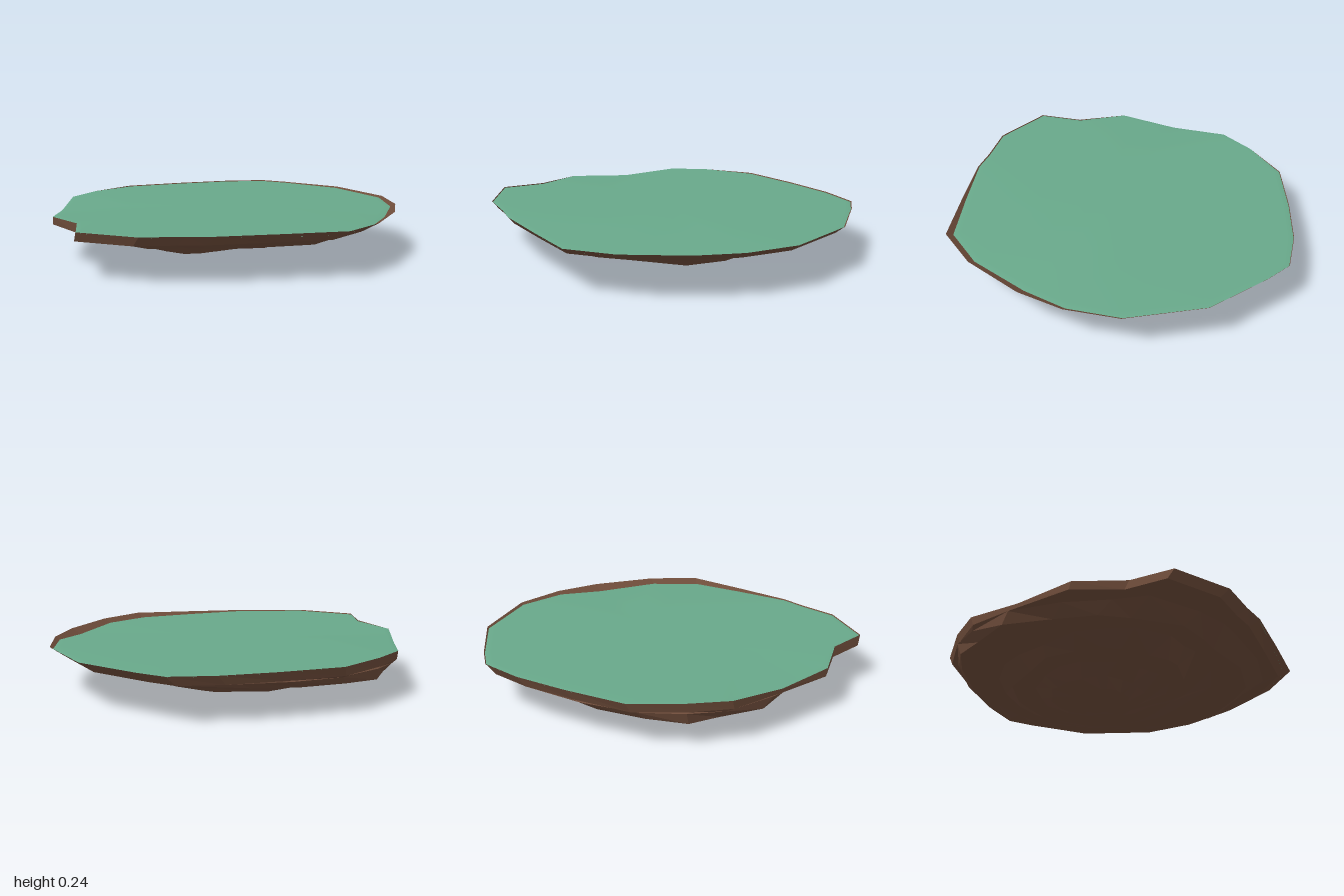
import * as THREE from 'three';

// Rim outline as [x, z], running from +x towards +z
const OUTLINE = [
  [0.92, 0.05], [0.88, 0.32], [0.64, 0.54], [0.39, 0.76], [0.27, 0.83], [0.09, 0.955], [-0.24, 1],
  [-0.38, 0.81], [-0.63, 0.69], [-0.79, 0.41], [-0.935, 0.13], [-0.935, -0.09], [-0.885, -0.37],
  [-0.68, -0.63], [-0.48, -0.85], [-0.29, -0.995], [-0.13, -1], [0.24, -0.975], [0.61, -0.77],
  [0.78, -0.54], [0.87, -0.3],
];
const N = OUTLINE.length;
const TOP = 0.24;

// Terraces of the underside: y, xMin, xMax, zMin, zMax
const TERRACES = [
  [0.19, -0.92, 0.84, -0.95, 0.98],
  [0.182, -0.91, 0.79, -0.86, 0.84],
  [0.132, -0.9, 0.69, -0.73, 0.71],
  [0.117, -0.66, 0.46, -0.63, 0.6],
  [0.07, -0.58, 0.32, -0.56, 0.46],
  [0.058, -0.47, 0.24, -0.39, 0.33],
  [0.025, -0.39, 0.12, -0.31, 0.2],
  [0, -0.27, 0.02, -0.2, 0.12],
];

// Small seeded random, -1 to 1
function seeded(seed) {
  return () => {
    seed = (seed * 16807) % 2147483647;
    return (seed / 2147483647) * 2 - 1;
  };
}

// Skin between closed rings, ending in a fan round the last ring's middle
function loft(rings, end, facesUp) {
  const positions = rings.flat().flatMap((p) => p.toArray());
  positions.push(...end.toArray());
  const index = [];
  const tri = (a, b, c) => (facesUp ? index.push(a, c, b) : index.push(a, b, c));
  rings.forEach((ring, r) => {
    for (let j = 0; j < N; j++) {
      const a = r * N + j;
      const b = r * N + ((j + 1) % N);
      if (r === rings.length - 1) tri(a, b, rings.length * N);
      else {
        tri(a, b, a + N);
        tri(b, b + N, a + N);
      }
    }
  });
  const geometry = new THREE.BufferGeometry();
  geometry.setAttribute('position', new THREE.Float32BufferAttribute(positions, 3));
  geometry.setIndex(index);
  geometry.computeVertexNormals();
  return geometry;
}

export function createModel() {
  const group = new THREE.Group();
  const random = seeded(4217);

  // Rim, dipping a little at the front left
  const lowRim = { 8: 0.232, 9: 0.212, 10: 0.236 };
  const rim = OUTLINE.map(([x, z], j) => new THREE.Vector3(x, lowRim[j] ?? TOP, z));

  // Rock terraces, rounder and rougher towards the bottom
  const terraces = TERRACES.map(([y, x0, x1, z0, z1], k) => {
    const round = Math.min(1, k / 4);
    return OUTLINE.map(([x, z]) => {
      const dir = new THREE.Vector2(x / 0.93, z);
      dir.multiplyScalar(THREE.MathUtils.lerp(1, 1 / dir.length(), round));
      const rough = k === 0 ? 1 : 1 + 0.05 * random();
      const lift = k === 0 || k === TERRACES.length - 1 ? 0 : 0.009 * random();
      return new THREE.Vector3(
        (x0 + x1) / 2 + (dir.x * rough * (x1 - x0)) / 2,
        y + lift,
        (z0 + z1) / 2 + (dir.y * rough * (z1 - z0)) / 2,
      );
    });
  });
  const rock = new THREE.Mesh(
    loft([rim, ...terraces], new THREE.Vector3(-0.125, 0, -0.04), false),
    new THREE.MeshStandardMaterial({ color: 0x6e4c3a, flatShading: true, side: THREE.DoubleSide }),
  );
  rock.name = 'rockUnderside';
  group.add(rock);

  // Grass: flat plateau that falls to the rock wall on the +x side
  const sink = { 0: 0.45, 1: 0.5, 2: 0.3, 8: 0, 9: 0, 10: 0, 11: 0, 17: 0.15, 18: 0.2, 19: 0.3, 20: 0.6 };
  const edge = rim.map((p, j) => p.clone().lerp(terraces[0][j], sink[j] ?? 0.1));
  const plateau = edge.map((p) => {
    const f = 0.6 - 0.16 * Math.max(0, p.x);
    return new THREE.Vector3(p.x * f, TOP, p.z * f);
  });
  const shoulder = edge.map((p, j) => {
    const q = p.clone().lerp(plateau[j], 0.08);
    q.y = Math.min(TOP, q.y + 0.005);
    return q;
  });
  const grass = new THREE.Mesh(
    loft([edge, shoulder, plateau], new THREE.Vector3(-0.05, TOP, 0), true),
    new THREE.MeshStandardMaterial({ color: 0x68a88a, side: THREE.DoubleSide }),
  );
  grass.name = 'grassTop';
  group.add(grass);

  return group;
}
